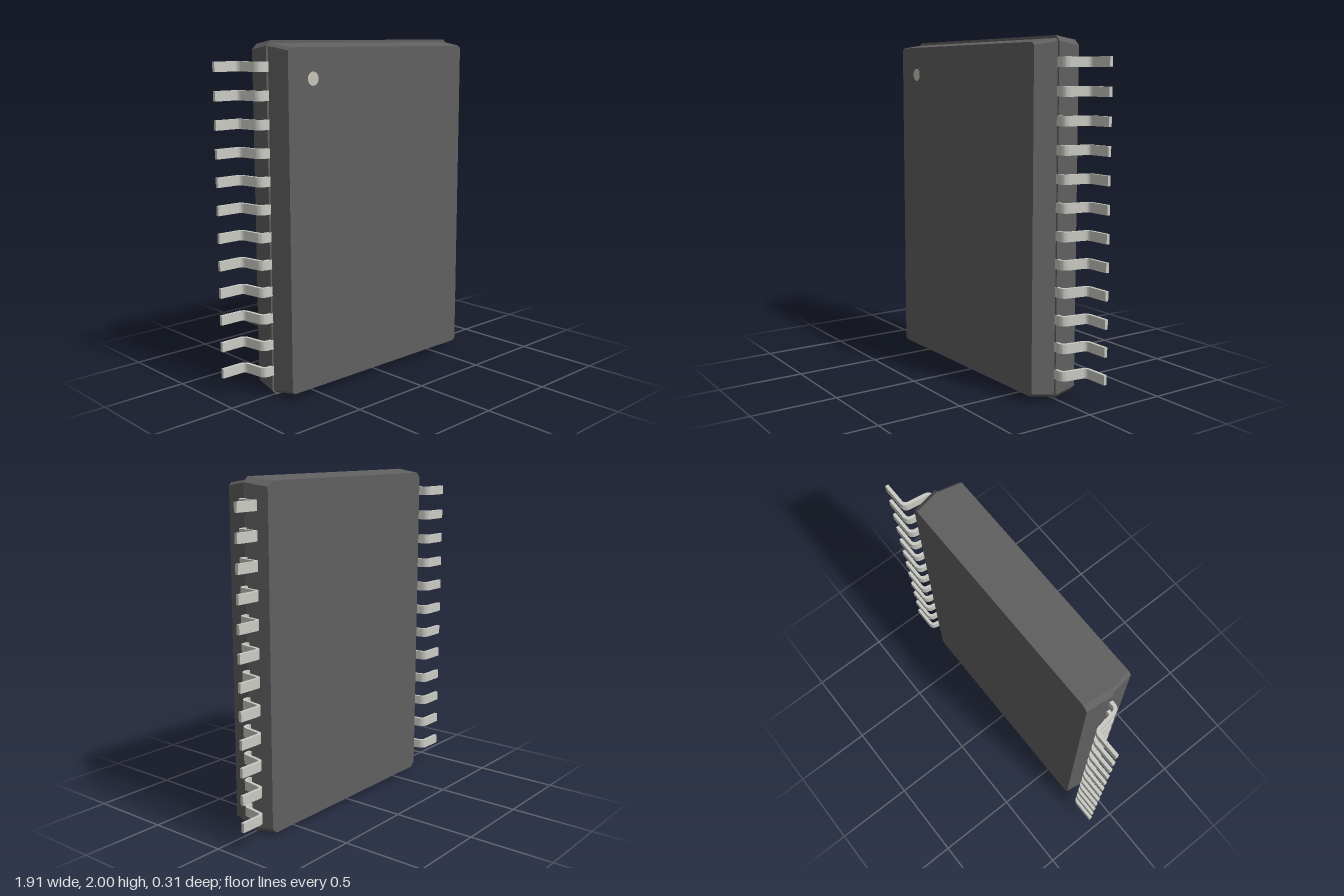
import * as THREE from 'three';
import { toCreasedNormals } from 'three/addons/utils/BufferGeometryUtils.js';

const MID_Y = 1;

// Rectangle outline with chamfered corners, counter-clockwise seen from +z
function outline([w, bottom, top, c, z]) {
  return [
    [w - c, bottom], [w, bottom + c], [w, top - c], [w - c, top],
    [c - w, top], [-w, top - c], [-w, bottom + c], [c - w, bottom],
  ].map(([x, y]) => [x, y, z]);
}

// Closed flat-faced solid between a back and a front outline
function taperedBlock(back, front) {
  const a = outline(back), b = outline(front), n = a.length, pos = [];
  for (let i = 0; i < n; i++) {
    const j = (i + 1) % n;
    pos.push(...a[i], ...a[j], ...b[j], ...a[i], ...b[j], ...b[i]);
    if (i > 0 && i < n - 1) {
      pos.push(...b[0], ...b[i], ...b[j], ...a[0], ...a[j], ...a[i]);
    }
  }
  const g = new THREE.BufferGeometry();
  g.setAttribute('position', new THREE.Float32BufferAttribute(pos, 3));
  g.computeVertexNormals();
  return g;
}

// Bent strip: centreline (x, -z) with rounded bends, thickened and extruded along y
function leadGeometry(thickness, width) {
  const pts = [[0.7, -0.008], [0.775, -0.008], [0.798, 0.147], [0.955, 0.147]]
    .map(([x, y]) => new THREE.Vector2(x, y));
  const line = [pts[0]];
  const r = 0.03;
  for (let i = 1; i < 3; i++) {
    const p = pts[i];
    const before = p.clone().add(pts[i - 1].clone().sub(p).setLength(r));
    const after = p.clone().add(pts[i + 1].clone().sub(p).setLength(r));
    line.push(...new THREE.QuadraticBezierCurve(before, p, after).getPoints(8));
  }
  line.push(pts[3]);

  const side = (s) => line.map((p, i) => {
    const t = line[Math.min(i + 1, line.length - 1)].clone().sub(line[Math.max(i - 1, 0)]);
    if (i === 1 || i === line.length - 2) t.set(1, 0);
    t.normalize();
    return new THREE.Vector2(p.x - t.y * s, p.y + t.x * s);
  });
  const shape = new THREE.Shape([...side(-thickness / 2), ...side(thickness / 2).reverse()]);
  const g = new THREE.ExtrudeGeometry(shape, { depth: width, bevelEnabled: false });
  g.translate(0, 0, -width / 2);
  g.rotateX(-Math.PI / 2);
  return toCreasedNormals(g, 0.6);
}

export function createModel() {
  const model = new THREE.Group();
  model.name = 'chipPackage';
  const bodyMat = new THREE.MeshStandardMaterial({ color: 0x606060 });
  const leadMat = new THREE.MeshStandardMaterial({ color: 0xcbcbc5 });
  const dotMat = new THREE.MeshStandardMaterial({ color: 0xc6c3b8 });

  const add = (name, geometry, material, parent = model) => {
    const mesh = new THREE.Mesh(geometry, material);
    mesh.name = name;
    parent.add(mesh);
    return mesh;
  };

  // Moulded body: two tapered halves meeting at a stepped parting line
  add('backHalf', taperedBlock(
    [0.705, 0.02, 1.98, 0.03, -0.137], [0.727, 0, 2, 0.03, 0.015]), bodyMat);
  add('frontHalf', taperedBlock(
    [0.715, 0.015, 1.985, 0.016, 0.015], [0.693, 0.037, 1.963, 0.016, 0.157]), bodyMat);

  // Orientation dot in the upper corner of the front face
  const dot = add('orientationDot', new THREE.CylinderGeometry(0.038, 0.038, 0.004, 32), dotMat);
  dot.rotation.x = Math.PI / 2;
  dot.position.set(-0.52, 1.795, 0.156);

  // Twelve bent leads on each side
  const lead = leadGeometry(0.019, 0.055);
  for (const [name, turn] of [['leftLeads', 0], ['rightLeads', Math.PI]]) {
    const row = new THREE.Group();
    row.name = name;
    model.add(row);
    for (let i = 0; i < 12; i++) {
      const mesh = add('lead', lead, leadMat, row);
      mesh.rotation.z = turn;
      mesh.position.y = MID_Y + 0.005 + (i - 5.5) * 0.1556;
    }
  }
  return model;
}
